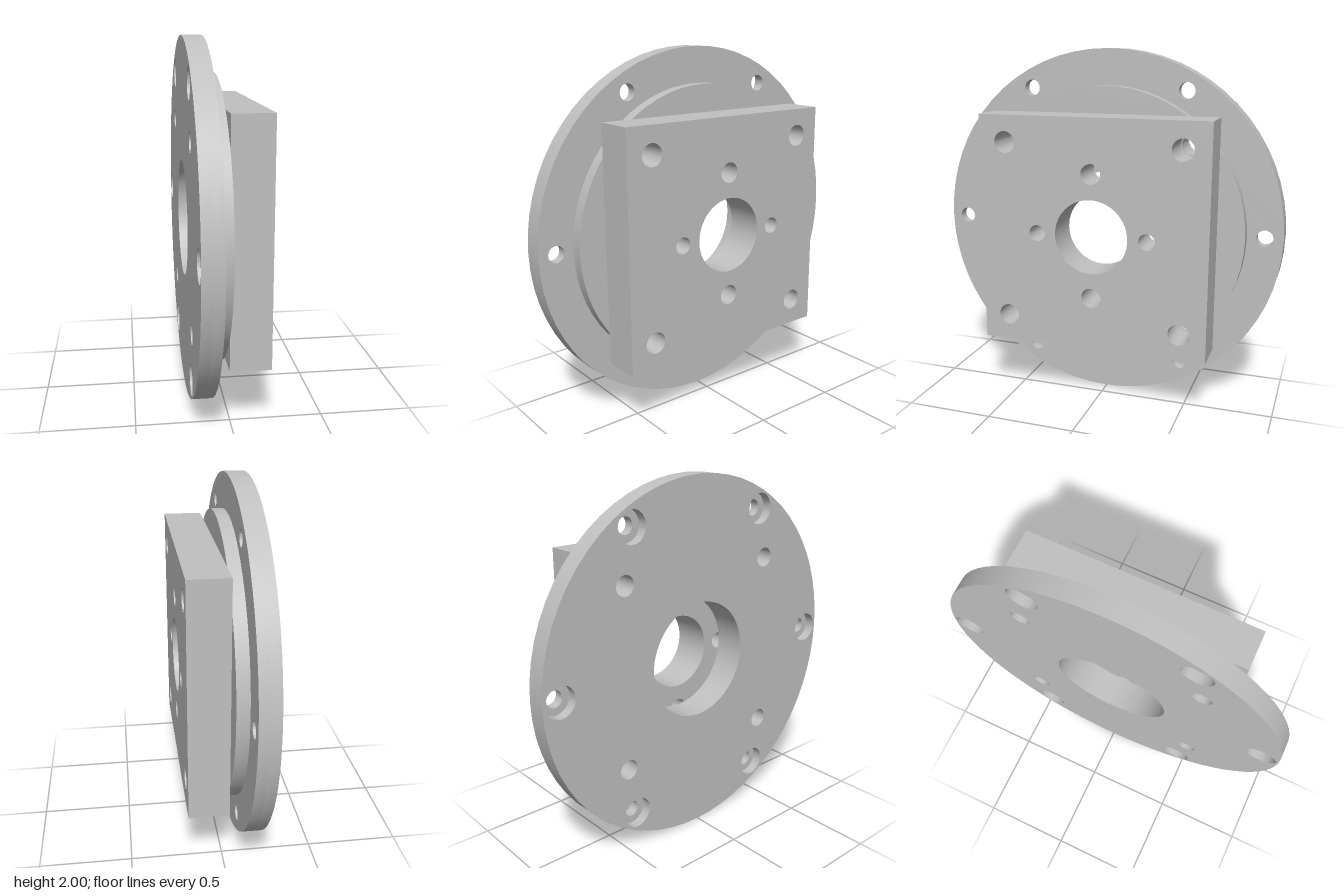
import * as THREE from 'three';
import { toCreasedNormals } from 'three/addons/utils/BufferGeometryUtils.js';

const steel = new THREE.MeshStandardMaterial({ color: 0xc0c0c0 });
steel.name = 'steel grey';

// Circular outline: used both as an outer contour and as a hole
function circle(Type, x, y, r) {
  const c = new Type();
  c.absarc(x, y, r, 0, Math.PI * 2, false);
  return c;
}

// Plate cut from an outline with round holes [x, y, r], lying between two x positions
function plate(name, outline, holes, x0, x1) {
  for (const [x, y, r] of holes) outline.holes.push(circle(THREE.Path, x, y, r));
  const extruded = new THREE.ExtrudeGeometry(outline, {
    depth: x1 - x0, bevelEnabled: false, curveSegments: 32,
  });
  extruded.rotateY(Math.PI / 2);
  extruded.translate(x0, 1, 0);
  const mesh = new THREE.Mesh(toCreasedNormals(extruded, 0.6), steel);
  mesh.name = name;
  return mesh;
}

// Six rim bolt holes
function rimHoles(r) {
  return Array.from({ length: 6 }, (_, i) => {
    const a = (i * Math.PI) / 3;
    return [0.9 * Math.cos(a), 0.9 * Math.sin(a), r];
  });
}

// Four corner bolt holes
function cornerHoles(r) {
  return [[1, 1], [-1, 1], [-1, -1], [1, -1]].map(([x, y]) => [x * 0.5, y * 0.5, r]);
}

export function createModel() {
  const group = new THREE.Group();
  group.name = 'flangeMount';
  const bore = [0, 0, 0.325];
  const disc = (r) => circle(THREE.Shape, 0, 0, r);

  // Round flange: counterbored back layer and narrow-holed front layer
  group.add(plate('flangeBack', disc(1), [bore, ...rimHoles(0.086), ...cornerHoles(0.055)], -0.2, -0.145));
  group.add(plate('flangeFront', disc(1), [bore, ...rimHoles(0.045), ...cornerHoles(0.055)], -0.145, -0.09));

  // Raised round step
  group.add(plate('step', disc(0.803), [bore, ...cornerHoles(0.055)], -0.09, -0.022));

  // Square block with shaft hole, corner holes and inner bolt holes
  const h = 0.65;
  const square = new THREE.Shape([
    new THREE.Vector2(-h, -h), new THREE.Vector2(h, -h),
    new THREE.Vector2(h, h), new THREE.Vector2(-h, h),
  ]);
  const blockHoles = [[0, 0, 0.208], ...cornerHoles(0.06)];
  for (const s of [1, -1]) blockHoles.push([0, s * 0.348, 0.056], [s * 0.315, 0, 0.046]);
  group.add(plate('squareBlock', square, blockHoles, -0.022, 0.195));

  return group;
}
